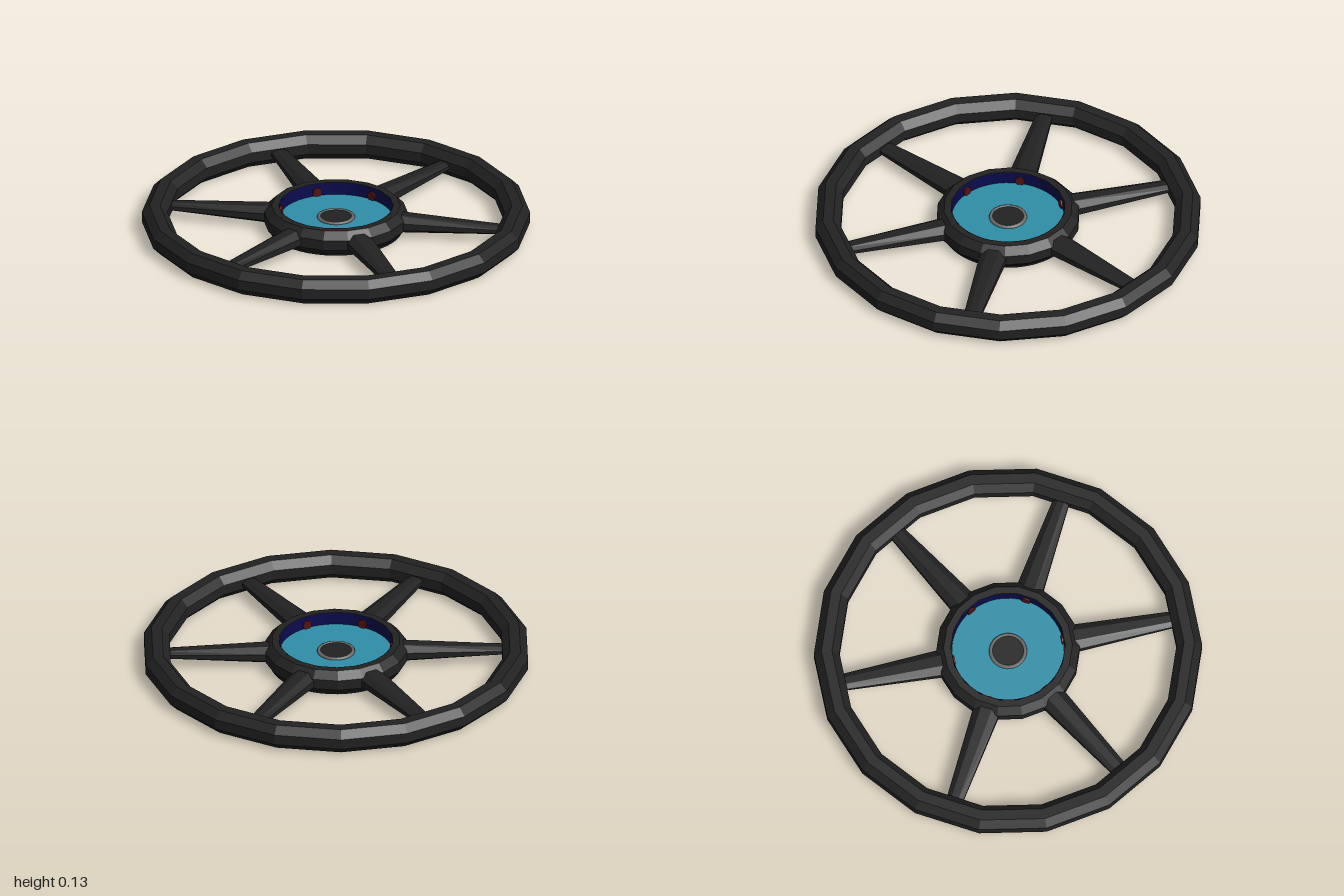
import * as THREE from 'three';

const SIDES = 18;
const MID = 0.066; // height of the wheel's middle plane

const paint = (color, extra = {}) => new THREE.MeshStandardMaterial({ color, ...extra });

function add(parent, name, geometry, material, x = 0, y = 0, z = 0) {
  const mesh = new THREE.Mesh(geometry, material);
  mesh.name = name;
  mesh.position.set(x, y, z);
  parent.add(mesh);
  return mesh;
}

// Turned profile with a corner on the x axis
function turned(points) {
  const profile = points.map(([r, y]) => new THREE.Vector2(r, y));
  return new THREE.LatheGeometry(profile, SIDES, Math.PI / 2);
}

// Tapered eight-sided spoke running along +z from r0 to r1
function spokeGeometry(r0, r1) {
  const g = new THREE.CylinderGeometry(1, 1, r1 - r0, 8, 1);
  g.rotateY(Math.PI / 8);
  g.rotateX(Math.PI / 2);
  g.translate(0, 0, (r0 + r1) / 2);
  const p = g.attributes.position;
  const k = 1 / Math.cos(Math.PI / 8);
  for (let i = 0; i < p.count; i++) {
    const t = (p.getZ(i) - r0) / (r1 - r0);
    p.setX(i, p.getX(i) * k * THREE.MathUtils.lerp(0.072, 0.041, t));
    p.setY(i, p.getY(i) * k * THREE.MathUtils.lerp(0.048, 0.02, t));
  }
  g.computeVertexNormals();
  return g;
}

export function createModel() {
  const group = new THREE.Group();
  const black = paint(0x222222, { flatShading: true });
  const red = paint(0x5a1212);

  // Outer rim: octagonal tube
  const tube = [];
  for (let i = 0; i <= 8; i++) {
    const a = (i - 0.5) * Math.PI / 4;
    const r = MID / Math.cos(Math.PI / 8);
    tube.push([1 - MID + r * Math.cos(a), MID + r * Math.sin(a)]);
  }
  add(group, 'outerRim', turned(tube), black);

  // Hub ring: bevelled outside, cut straight inside
  add(group, 'hubRing', turned([
    [0.332, 0], [0.37, 0.039], [0.37, 0.093], [0.332, 0.132], [0.295, 0.132], [0.295, 0.06],
  ]), black);
  add(group, 'hubBase', new THREE.CylinderGeometry(0.342, 0.342, 0.012, 48), paint(0x181818), 0, 0.006, 0);

  // Recessed pan
  add(group, 'panWall', new THREE.CylinderGeometry(0.29, 0.29, 0.068, 48, 1, true),
    paint(0x0a0a50, { side: THREE.DoubleSide }), 0, 0.096, 0);
  add(group, 'panFloor', new THREE.CylinderGeometry(0.29, 0.29, 0.01, 48), paint(0x2f8fa8), 0, 0.06, 0);

  // Centre cap
  const trim = new THREE.TorusGeometry(0.088, 0.01, 8, 32);
  trim.rotateX(Math.PI / 2);
  add(group, 'capTrim', trim, paint(0x6a6a6a), 0, 0.067, 0);
  add(group, 'cap', new THREE.CylinderGeometry(0.084, 0.084, 0.01, 32), paint(0x222222), 0, 0.067, 0);

  // Spokes with a red stub showing inside the pan
  const spokeGeo = spokeGeometry(0.3, 0.9);
  const stubGeo = new THREE.CylinderGeometry(0.025, 0.025, 0.02, 12);
  stubGeo.rotateX(Math.PI / 2);
  for (let i = 0; i < 6; i++) {
    const spoke = new THREE.Group();
    spoke.name = 'spoke' + (i + 1);
    spoke.rotation.y = i * Math.PI / 3;
    add(spoke, 'spokeArm', spokeGeo, black, 0, MID, 0);
    add(spoke, 'spokeStub', stubGeo, red, 0, 0.085, 0.29);
    group.add(spoke);
  }
  return group;
}
